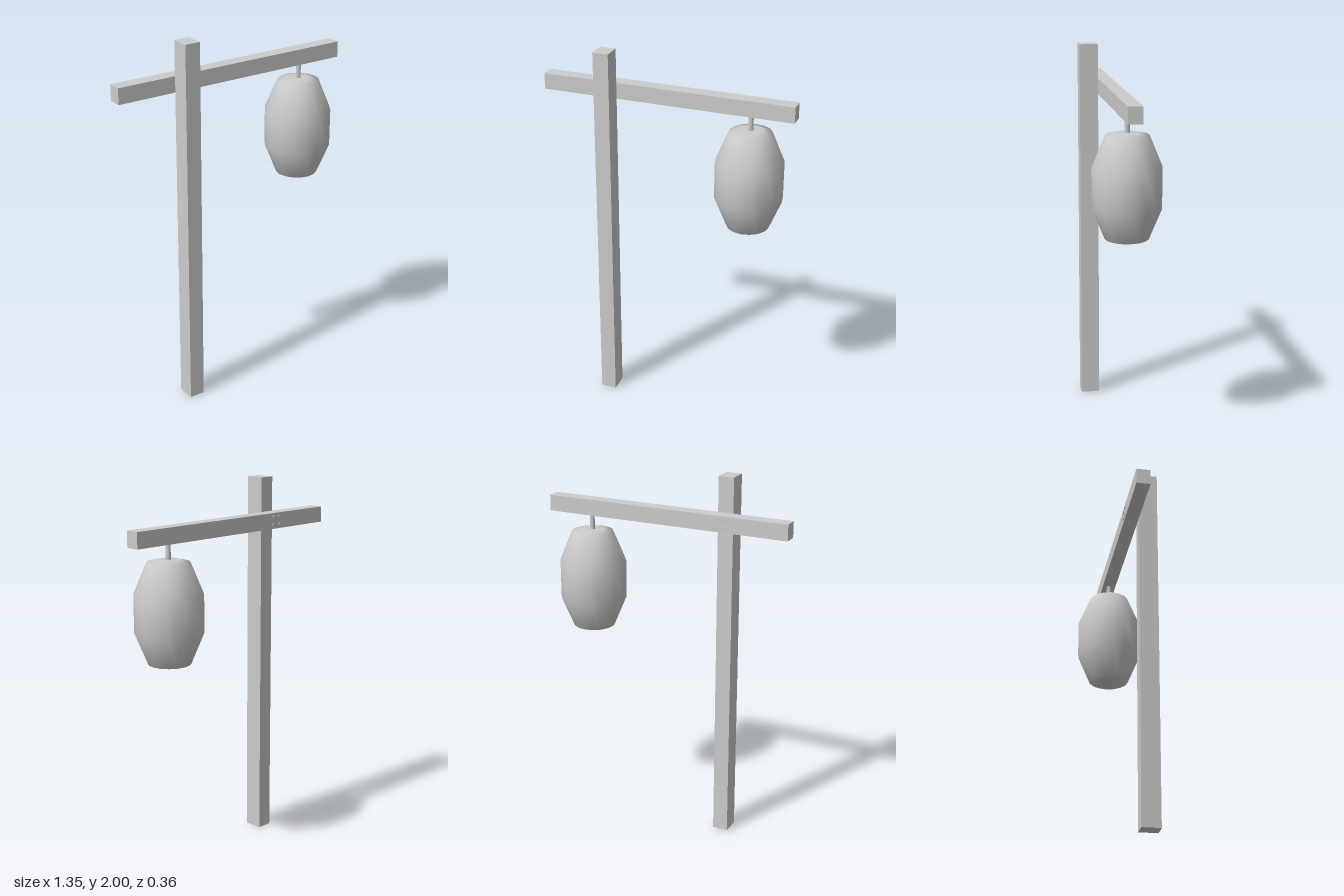
import * as THREE from 'three';

const material = new THREE.MeshStandardMaterial({ color: 0xcccccc });

function add(group, name, geometry, x, y, z) {
  const mesh = new THREE.Mesh(geometry, material);
  mesh.name = name;
  mesh.position.set(x, y, z);
  group.add(mesh);
  return mesh;
}

export function createModel() {
  const model = new THREE.Group();
  model.name = 'hangingLanternPost';
  const lanternX = 0.443, postX = -0.312;

  // Upright post in front of the crossbeam
  add(model, 'post', new THREE.BoxGeometry(0.084, 2, 0.1), postX, 1, 0.086);
  add(model, 'crossbeam', new THREE.BoxGeometry(1.354, 0.085, 0.074), 0, 1.773, 0);

  // Four nail heads on the back of the beam
  for (const dx of [-0.022, 0.022]) {
    for (const dy of [-0.021, 0.021]) {
      const nail = add(model, 'nailHead', new THREE.CylinderGeometry(0.01, 0.01, 0.01, 8),
        postX + dx, 1.773 + dy, -0.036);
      nail.rotation.x = Math.PI / 2;
    }
  }

  // Rod the lantern hangs from
  add(model, 'hangingRod', new THREE.CylinderGeometry(0.013, 0.013, 0.1, 10), lanternX, 1.69, 0);

  // Paper lantern: coarse smooth barrel with nearly flat ends
  const half = [[0.178, 0.1], [0.111, 0.262], [0.062, 0.274], [0, 0.274]];
  const profile = [
    ...half.map(([r, y]) => new THREE.Vector2(r, -y)).reverse(),
    ...half.map(([r, y]) => new THREE.Vector2(r, y)),
  ];
  add(model, 'lantern', new THREE.LatheGeometry(profile, 16), lanternX, 1.375, 0);

  return model;
}
